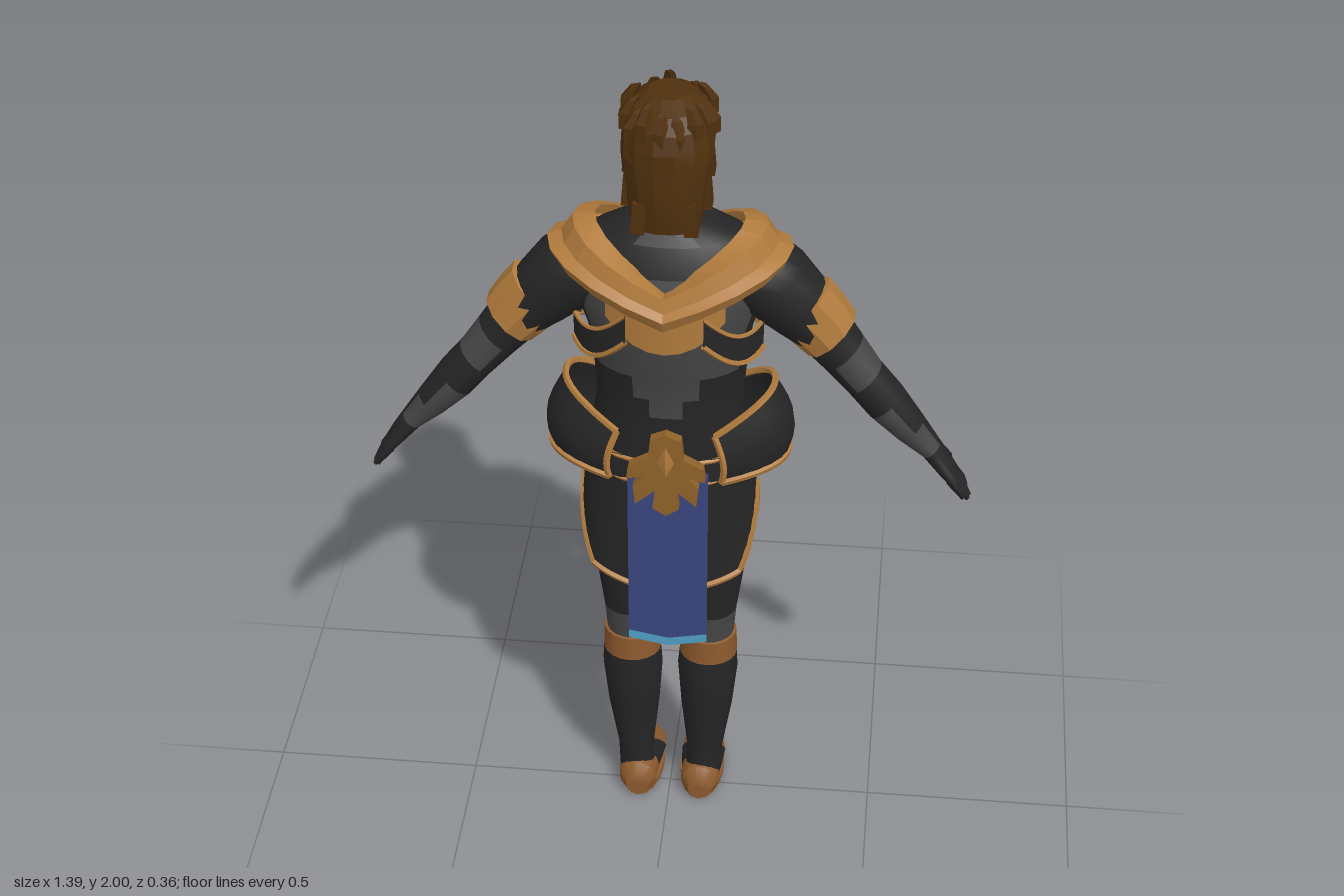
import * as THREE from 'three';
import { toCreasedNormals } from 'three/addons/utils/BufferGeometryUtils.js';

const mat = (name, color) => Object.assign(new THREE.MeshStandardMaterial({ color, side: THREE.DoubleSide }), { name });
const V = (x, y, z) => new THREE.Vector3(x, y, z);
const X = V(1, 0, 0), Y = V(0, 1, 0), Z = V(0, 0, 1);

export function createModel() {
  const root = new THREE.Group();
  root.name = 'armouredFigure';
  const black = mat('blackCloth', 0x252526), grey = mat('greyCloth', 0x464647), gold = mat('gold', 0xb07a3c),
    bronze = mat('bronze', 0x8f622a), leather = mat('leather', 0x8c5a2e), skin = mat('skin', 0xae763c),
    hair = mat('hair', 0x50310e), blue = mat('blueCloth', 0x3b4680), cyan = mat('cyanHem', 0x4f9fc6);

  const add = (name, geo, material, crease = 0.6) => {
    const mesh = new THREE.Mesh(toCreasedNormals(geo, crease), material);
    mesh.name = name;
    root.add(mesh);
    return mesh;
  };
  // Adds a copy reflected in x, with the corner order reversed
  const mirror = (mesh) => {
    const geo = mesh.geometry.clone();
    for (const key of ['position', 'normal']) {
      const a = geo.attributes[key], src = a.array.slice();
      for (let i = 0; i < a.count; i++) {
        const j = i - (i % 3) + [0, 2, 1][i % 3];
        a.setXYZ(i, -src[j * 3], src[j * 3 + 1], src[j * 3 + 2]);
      }
    }
    const copy = new THREE.Mesh(geo, mesh.material);
    copy.name = mesh.name + 'Right';
    mesh.name += 'Left';
    root.add(copy);
  };
  // Closed skin over elliptical rings [x, y, z, ru, rv]; paint(ring, cos, sin) picks a material index
  const loft = (name, rings, n, u, v, mats, paint = () => 0, crease = 0.6) => {
    const pos = [], index = [], groups = [];
    const first = V(...rings[0]), last = V(...rings[rings.length - 1]);
    const flip = u.clone().cross(v).dot(last.clone().sub(first)) < 0;
    for (const [x, y, z, ru, rv] of rings) for (let j = 0; j < n; j++) {
      const a = (j / n) * Math.PI * 2;
      pos.push(...V(x, y, z).addScaledVector(u, ru * Math.cos(a)).addScaledVector(v, rv * Math.sin(a)));
    }
    pos.push(...first, ...last);
    const tri = (a, b, c, m) => {
      groups.push([index.length, m]);
      index.push(...(flip ? [a, c, b] : [a, b, c]));
    };
    const end = rings.length - 1;
    for (let j = 0; j < n; j++) {
      const k = (j + 1) % n, a = ((j + 0.5) / n) * Math.PI * 2;
      for (let i = 0; i < end; i++) {
        const m = paint(i, Math.cos(a), Math.sin(a));
        tri(i * n + j, i * n + k, i * n + n + k, m);
        tri(i * n + j, i * n + n + k, i * n + n + j, m);
      }
      tri(rings.length * n, k, j, paint(0, Math.cos(a), Math.sin(a)));
      tri(rings.length * n + 1, end * n + j, end * n + k, paint(end - 1, Math.cos(a), Math.sin(a)));
    }
    const geo = new THREE.BufferGeometry();
    geo.setAttribute('position', new THREE.Float32BufferAttribute(pos, 3));
    geo.setIndex(index);
    if (Array.isArray(mats)) groups.forEach(([s, m]) => geo.addGroup(s, 3, m));
    return add(name, geo, mats, crease);
  };
  // Open sheet from f(u, v) -> Vector3
  const sheet = (name, f, nu, nv, material, crease = 0.5) => {
    const pos = [], index = [], w = nu + 1;
    for (let j = 0; j <= nv; j++) for (let i = 0; i <= nu; i++) pos.push(...f(i / nu, j / nv));
    for (let j = 0; j < nv; j++) for (let i = 0; i < nu; i++) {
      const a = j * w + i;
      index.push(a, a + w, a + 1, a + 1, a + w, a + w + 1);
    }
    const geo = new THREE.BufferGeometry();
    geo.setAttribute('position', new THREE.Float32BufferAttribute(pos, 3));
    geo.setIndex(index);
    return add(name, geo, material, crease);
  };
  const trim = (name, f, r = 0.008, material = gold) => {
    const pts = Array.from({ length: 15 }, (_, i) => f(i / 14));
    return add(name, new THREE.TubeGeometry(new THREE.CatmullRomCurve3(pts), 28, r, 5), material, 1.2);
  };
  const box = (name, material, w, h, d, x, y, z, rz = 0) =>
    add(name, new THREE.BoxGeometry(w, h, d).rotateZ(rz).translate(x, y, z), material);
  const wrap = (a, rx, rz, y, p = 1) => V(
    rx * Math.sign(Math.cos(a)) * Math.abs(Math.cos(a)) ** p, y, rz * Math.sign(Math.sin(a)) * Math.abs(Math.sin(a)) ** p);

  // Torso and neck
  loft('torso', [[0, 0.98, 0, 0.18, 0.11], [0, 1.1, 0, 0.185, 0.11], [0, 1.2, 0, 0.168, 0.107], [0, 1.25, 0, 0.17, 0.11],
    [0, 1.31, 0, 0.175, 0.118], [0, 1.4, 0.004, 0.185, 0.135], [0, 1.49, 0.005, 0.215, 0.138], [0, 1.58, 0.005, 0.215, 0.122],
    [0, 1.64, 0, 0.17, 0.09], [0, 1.68, 0, 0.085, 0.068]], 28, X, Z, [black, grey], (i, c) => {
    const k = Math.abs(c);
    if (i === 8) return k < 0.5 ? 1 : 0;
    if (i < 2 || i > 6) return 0;
    return i < 4 ? +(k < 0.3 || (i === 3 && k < 0.45)) : +(k < 0.88);
  }, 1);
  loft('neck', [[0, 1.66, 0.005, 0.08, 0.068], [0, 1.71, 0.003, 0.068, 0.06], [0, 1.78, 0, 0.065, 0.06]], 16, X, Z,
    [black, grey], (i, c, s) => +(i === 0 && Math.abs(s) > 0.7));

  // Mantle: stepped tiers, high on the shoulders and dipping front and back
  const tiers = [[0.165, 0.115, 1.55, 0.125], [0.215, 0.16, 1.555, 0.11], [0.24, 0.17, 1.525, 0.1],
    [0.23, 0.16, 1.522, 0.1], [0.272, 0.178, 1.505, 0.105], [0.262, 0.165, 1.475, 0.11]];
  sheet('mantle', (u, v) => {
    const a = u * Math.PI * 2, [rx, rz, y, rise] = tiers[Math.round(v * 5)];
    return wrap(a, rx, rz, y + rise * Math.abs(Math.cos(a))).add(V(0, 0, 0.005));
  }, 20, 5, gold, 0.3);

  for (const k of [1, -1]) {
    const side = k > 0 ? 'back' : 'front';
    // Plate under the mantle
    const plate = (u, v) => {
      const t = 2 * u - 1;
      return wrap(k * (Math.PI / 2 + t * 0.72), 0.2, 0.155, 1.53 - v * (0.125 - 0.07 * t * t));
    };
    sheet(side + 'Plate', plate, 8, 2, gold);
    // Straps below the armpits
    const strap = (u, v) => wrap(k * (0.3 + u * 0.85), 0.222 - 0.012 * u, 0.153, 1.375 + 0.05 * u + (1 - v) * 0.07 - 0.04 * Math.sin(u * 3.1));
    mirror(sheet(side + 'Strap', strap, 8, 1, black));
    mirror(trim(side + 'StrapTopTrim', (u) => strap(u, 0), 0.005));
    mirror(trim(side + 'StrapLowTrim', (u) => strap(u, 1), 0.007));

    // Skirt panel, parted at the hips
    const hem = k > 0 ? [0.77, 0.72] : [0.7, 0.67];
    const panel = (u, v) => {
      const t = 2 * u - 1, y = THREE.MathUtils.lerp(1.1, hem[1] + (hem[0] - hem[1]) * Math.abs(t), v);
      const open = Math.max(0, 0.96 - y) / (0.96 - hem[0]) * 0.72;
      const f = 1 - v;
      return wrap(k * (Math.PI / 2 - t * (Math.PI / 2 - open)), 0.213 - 0.02 * f, 0.132 - 0.01 * f, y, 0.75);
    };
    sheet(side + 'Skirt', panel, 14, 10, black, 0.3);
    trim(side + 'SkirtHem', (u) => panel(u, 1));
    for (const e of [0, 1]) trim(side + 'SkirtEdge', (v) => panel(e, 0.4 + 0.6 * v), 0.007);

    // Hanging cloth with a pointed coloured hem
    const cloth = (y0, y1) => (u, v) => V(-0.085 + 0.185 * u, y0 + (y1 - y0) * v - 0.018 * (1 - Math.abs(2 * u - 1)) * (y0 < 0.8 ? 1 : v), k * 0.14);
    sheet(side + 'Cloth', cloth(1.08, 0.605), 4, 1, blue);
    sheet(side + 'ClothHem', cloth(0.605, 0.582), 4, 1, cyan);

    // Horned buckle
    const s = new THREE.Shape([[0, 0.97], [0.03, 0.99], [0.025, 1.04], [0.07, 1.0], [0.075, 1.05], [0.05, 1.08], [0.09, 1.07],
      [0.085, 1.105], [0.04, 1.13], [0.035, 1.18], [0, 1.195], [-0.035, 1.18], [-0.04, 1.13], [-0.085, 1.105], [-0.09, 1.07],
      [-0.05, 1.08], [-0.075, 1.05], [-0.07, 1.0], [-0.025, 1.04], [-0.03, 0.99]].map((p) => new THREE.Vector2(...p)));
    add(side + 'Buckle', new THREE.ExtrudeGeometry(s, { depth: 0.025, bevelEnabled: false }).translate(0.005, 0, k > 0 ? 0.14 : -0.165), bronze);
    add(side + 'BuckleBoss', new THREE.OctahedronGeometry(1).scale(0.03, 0.065, 0.02).translate(0.005, 1.12, k * 0.158), gold);
  }

  // Belt and flared hip plates
  const belt = (u, v) => wrap(u * Math.PI * 2, 0.2, 0.13, 1.11 - 0.06 * v - 0.02 * Math.abs(Math.sin(u * Math.PI * 2)));
  sheet('belt', belt, 28, 1, black);
  for (const v of [0, 1]) trim('beltTrim', (u) => belt(u, v), 0.006);
  const hip = (u, v) => {
    const t = 2 * u - 1, rx = 0.238 + 0.048 * Math.sin(v * 2.3);
    return wrap(t * 1.15, rx, 0.118 + 0.015 * Math.sin(v * 2.5), 1.25 - 0.09 * t * t - v * (0.18 - 0.06 * t * t), 0.85);
  };
  mirror(sheet('hipPlate', hip, 12, 6, black, 0.6));
  mirror(trim('hipPlateTop', (u) => hip(u, 0)));
  mirror(trim('hipPlateBottom', (u) => hip(u, 1), 0.009));
  for (const e of [0, 1]) mirror(trim('hipPlateEdge', (v) => hip(e, v)));
  const flap = (u, v) => wrap((2 * u - 1) * 0.9, 0.262 - 0.04 * v, 0.13, 1.07 - 0.05 * v, 0.85);
  mirror(sheet('hipFlap', flap, 8, 1, black));

  // Arms, with bands above the elbows
  const across = V(1, 1, 0).normalize();
  mirror(loft('arm', [[0.15, 1.57, 0, 0.09, 0.07], [0.19, 1.55, 0, 0.1, 0.088], [0.23, 1.515, 0, 0.098, 0.09], [0.29, 1.455, 0, 0.08, 0.08],
    [0.34, 1.405, 0.005, 0.062, 0.066], [0.39, 1.345, 0.01, 0.054, 0.058], [0.44, 1.285, 0.018, 0.05, 0.051], [0.49, 1.225, 0.02, 0.053, 0.05],
    [0.55, 1.155, 0.02, 0.043, 0.039], [0.6, 1.1, 0.02, 0.03, 0.027], [0.632, 1.06, 0.024, 0.042, 0.021], [0.655, 1.03, 0.026, 0.042, 0.015]],
  16, Z, across, [black, grey], (i, c, s) => +((i === 5 && s > -0.3) || (i === 7 && s < 0.4) || (i === 8 && c > 0.3)), 1));
  mirror(loft('armBand', [[0.292, 1.468, 0.003, 0.066, 0.07], [0.295, 1.465, 0.003, 0.074, 0.082], [0.33, 1.425, 0.003, 0.07, 0.08],
    [0.362, 1.388, 0.005, 0.068, 0.073], [0.364, 1.386, 0.005, 0.056, 0.06]], 10, Z, across, gold, undefined, 0.3));
  for (let i = 0; i < 4; i++) {
    const z = -0.004 + i * 0.02, d = [0, 0.012, 0.008, -0.008][i];
    mirror(loft('finger', [[0.645, 1.04, z, 0.011, 0.012], [0.674, 1.005, z + 0.002, 0.009, 0.01],
      [0.684 + d * 0.7, 0.985 - d, z + 0.003, 0.005, 0.006]], 6, Z, across, black));
  }
  mirror(loft('thumb', [[0.605, 1.085, 0.005, 0.015, 0.014], [0.625, 1.06, -0.03, 0.012, 0.012], [0.645, 1.03, -0.05, 0.006, 0.007]], 6, Z, across, black));

  // Legs: greaves gold on the shin, cloth knee, leather strap behind
  mirror(loft('leg', [[0.095, 1.02, 0, 0.09, 0.108], [0.1, 0.85, -0.003, 0.09, 0.1], [0.1, 0.7, -0.005, 0.076, 0.082], [0.097, 0.585, 0, 0.063, 0.064],
    [0.094, 0.51, -0.002, 0.06, 0.06], [0.093, 0.508, -0.002, 0.068, 0.065], [0.093, 0.445, 0, 0.07, 0.066], [0.092, 0.4, 0.003, 0.073, 0.068],
    [0.09, 0.28, 0.003, 0.063, 0.058], [0.086, 0.13, 0, 0.044, 0.036], [0.083, 0.05, 0.005, 0.043, 0.037]], 20, X, Z, [black, grey, gold, leather],
  (i, c, s) => {
    if (i < 2) return 0;
    if (i === 2) return +(s < -0.2 && c < 0.2);
    if (i === 3) return 1;
    if (s < -0.3) return 2;
    return i < 6 ? 3 : 0;
  }, 0.8));
  mirror(loft('shoe', [[0.078, 0.035, 0.066, 0.028, 0.032], [0.078, 0.045, 0.045, 0.046, 0.045], [0.078, 0.048, 0, 0.049, 0.047],
    [0.077, 0.036, -0.045, 0.052, 0.035], [0.076, 0.024, -0.1, 0.055, 0.023], [0.074, 0.018, -0.15, 0.047, 0.017],
    [0.072, 0.014, -0.18, 0.024, 0.01]], 14, X, Y, [leather, black], (i, c, s) => +((i === 2 || i === 3) && s > 0.2 && Math.abs(c) > 0.3), 0.8));
  const sole = new THREE.CylinderGeometry(1, 1, 0.014, 18).scale(0.055, 1, 0.123).translate(0.076, 0.007, -0.058);
  mirror(add('sole', sole, leather));

  // Head and face (facing -z)
  loft('head', [[0, 1.714, -0.068, 0.026, 0.03], [0, 1.735, -0.045, 0.047, 0.056], [0, 1.775, -0.02, 0.064, 0.078], [0, 1.82, -0.004, 0.073, 0.092],
    [0, 1.86, 0, 0.077, 0.092], [0, 1.9, 0.002, 0.077, 0.094], [0, 1.945, 0.005, 0.068, 0.08], [0, 1.97, 0.01, 0.04, 0.05]], 20, X, Z, skin, undefined, 1.2);
  loft('nose', [[0, 1.872, -0.088, 0.008, 0.008], [0, 1.835, -0.1, 0.011, 0.014], [0, 1.813, -0.103, 0.017, 0.019], [0, 1.804, -0.095, 0.012, 0.01]], 8, X, Z, skin);
  mirror(add('ear', new THREE.SphereGeometry(1, 8, 6).scale(0.01, 0.032, 0.02).rotateY(-0.3).translate(0.08, 1.835, 0.002), skin));
  mirror(box('brow', hair, 0.034, 0.008, 0.009, 0.033, 1.877, -0.086, 0.15));
  mirror(box('eye', black, 0.024, 0.009, 0.008, 0.032, 1.858, -0.084));
  box('mouth', leather, 0.04, 0.009, 0.009, 0, 1.772, -0.095);

  // Hair: layered cap with locks round the crown and nape
  loft('hair', [[0, 1.705, 0.1, 0.074, 0.042], [0, 1.76, 0.088, 0.084, 0.064], [0, 1.79, 0.082, 0.088, 0.072], [0, 1.835, 0.076, 0.096, 0.078],
    [0, 1.87, 0.068, 0.1, 0.086], [0, 1.9, 0.045, 0.1, 0.108], [0, 1.94, 0.028, 0.096, 0.112], [0, 1.97, 0.024, 0.08, 0.09],
    [0, 1.99, 0.02, 0.045, 0.05]], 14, X, Z, hair, undefined, 0.2);
  for (let i = 0; i < 15; i++) {
    const a = (i / 15) * Math.PI * 2, c = Math.cos(a), s = Math.sin(a), lift = 0.012 * (i % 3);
    loft('crownLock', [[0.088 * c, 1.9 + lift, 0.028 + 0.1 * s, 0.022, 0.02], [0.092 * c, 1.935 + lift, 0.028 + 0.1 * s, 0.018, 0.018],
      [0.075 * c, 1.966 + lift, 0.03 + 0.085 * s, 0.012, 0.012], [0.065 * c, 1.976 + lift, 0.035 + 0.075 * s, 0.003, 0.003]], 5, X, Z, hair, undefined, 0.2);
  }
  for (const [x, y, z] of [[0.082, 1.84, 0.03], [0.08, 1.78, 0.07], [0.055, 1.74, 0.12]])
    mirror(box('sideLock', hair, 0.03, 0.075, 0.045, x, y, z, 0.08));

  return root;
}
